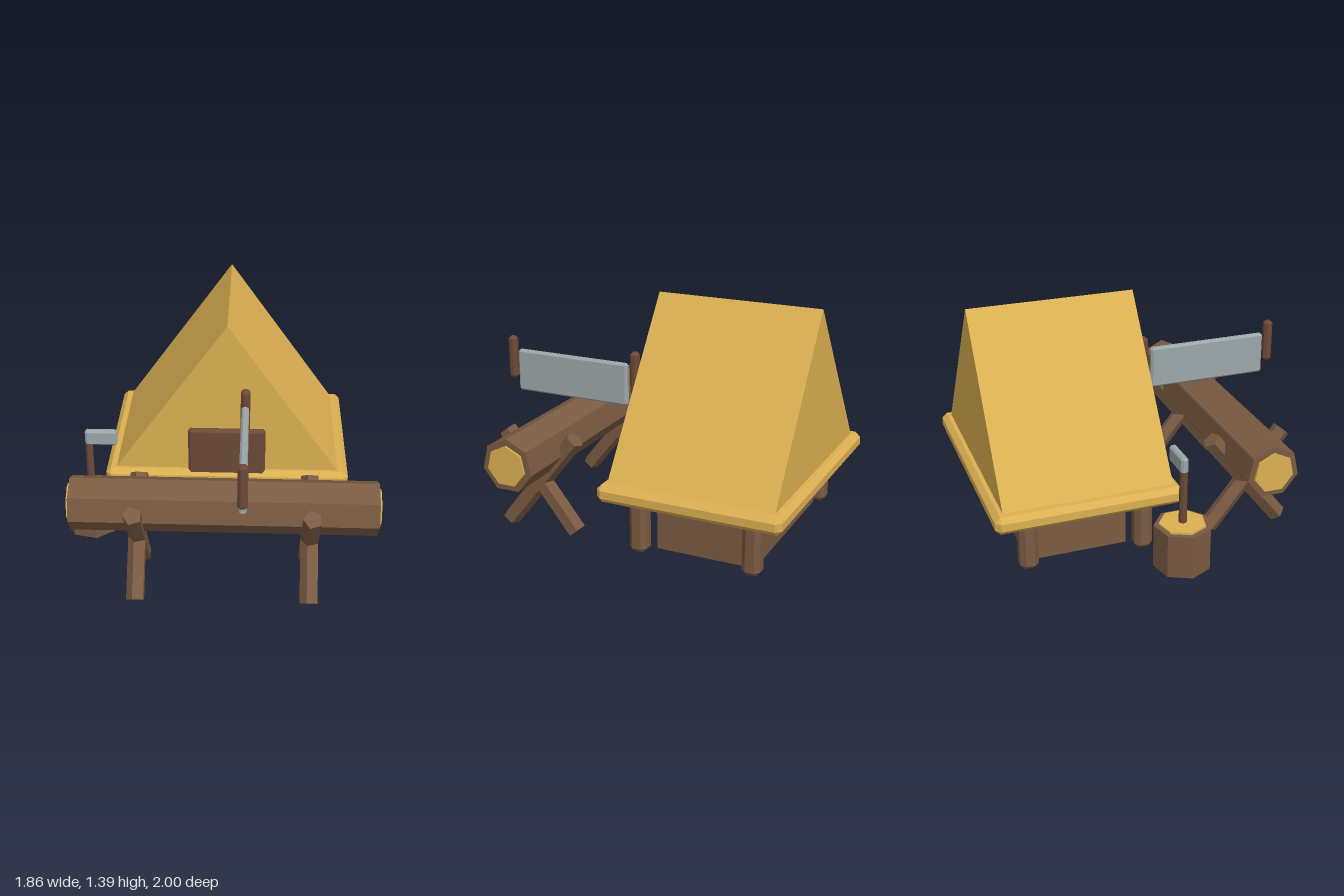
import * as THREE from 'three';
import { ConvexGeometry } from 'three/addons/geometries/ConvexGeometry.js';

const paint = (name, color) => {
  const m = new THREE.MeshStandardMaterial({ color });
  m.name = name;
  return m;
};

// Give every face its own flat normal
function flat(geo) {
  const g = geo.index ? geo.toNonIndexed() : geo;
  g.computeVertexNormals();
  return g;
}

// Box with all edges cut at 45 degrees, given by its min and max corners
function chamferBox(min, max, c) {
  const h = max.map((v, i) => (v - min[i]) / 2);
  const pts = [];
  for (const sx of [-1, 1]) for (const sy of [-1, 1]) for (const sz of [-1, 1]) {
    for (let full = 0; full < 3; full++) {
      const p = h.map((v, i) => (i === full ? v : v - c));
      pts.push(new THREE.Vector3(p[0] * sx, p[1] * sy, p[2] * sz));
    }
  }
  const g = new ConvexGeometry(pts);
  g.translate(...max.map((v, i) => (v + min[i]) / 2));
  return g;
}

export function createModel() {
  const gold = paint('gold', 0xdcb052);
  const wood = paint('wood', 0x7a5a42);
  const darkWood = paint('dark wood', 0x6c4a38);
  const steel = paint('steel', 0x9ca7a9);

  const model = new THREE.Group();
  model.name = 'woodcutterCamp';
  const add = (parent, name, geo, mat) => {
    const m = new THREE.Mesh(geo, mat);
    m.name = name;
    parent.add(m);
    return m;
  };
  const group = (name) => {
    const g = new THREE.Group();
    g.name = name;
    model.add(g);
    return g;
  };

  // Hut: walls, corner posts, eaves slab, roof prism and door
  const hut = group('hut');
  add(hut, 'walls', new THREE.BoxGeometry(1.0, 0.36, 0.59).translate(0.06, 0.22, -0.485), wood);
  for (const x of [-0.5, 0.62]) for (const z of [-0.113, -0.79]) {
    add(hut, 'cornerPost', chamferBox([x - 0.053, 0.04, z - 0.053], [x + 0.053, 0.42, z + 0.053], 0.027), wood);
  }
  add(hut, 'eaves', chamferBox([-0.67, 0.36, -1.0], [0.79, 0.465, 0.08], 0.03), gold);
  const gable = new THREE.Shape();
  gable.moveTo(-0.61, 0.46);
  gable.lineTo(0.73, 0.46);
  gable.lineTo(0.06, 1.397);
  gable.closePath();
  const roof = new THREE.ExtrudeGeometry(gable, { depth: 0.98, bevelEnabled: false });
  add(hut, 'roof', roof.translate(0, 0, -0.947), gold);
  add(hut, 'door', chamferBox([-0.17, 0.42, 0.01], [0.29, 0.74, 0.063], 0.015), darkWood);

  // Seven-sided log lying along x, with pale cut ends
  const log = group('log');
  const prismX = (r, x0, x1) => {
    const g = new THREE.CylinderGeometry(r, r, x1 - x0, 7);
    g.rotateZ(Math.PI / 2);
    // turn one corner to the top
    g.rotateX(-Math.PI / 2);
    return flat(g.translate((x0 + x1) / 2, 0.542, 0.556));
  };
  add(log, 'bark', prismX(0.158, -0.8, 0.92), wood);
  add(log, 'cutEnd', prismX(0.12, -0.813, -0.79), gold);
  add(log, 'cutEnd', prismX(0.12, 0.91, 0.932), gold);

  // Two crossed trestles of five-sided poles
  const trestles = group('trestles');
  for (const x of [-0.435, 0.545]) for (const s of [-1, 1]) {
    const geo = new THREE.CylinderGeometry(0.055, 0.055, 0.723, 5);
    geo.rotateY(-Math.PI / 2);
    geo.rotateX(s * Math.atan2(0.45, 0.566));
    add(trestles, 'trestleLeg', flat(geo.translate(x + 0.005, 0.323, 0.561)), wood);
  }

  // Two-handed saw above the log
  const saw = group('saw');
  add(saw, 'sawBlade', chamferBox([0.148, 0.718, 0.188], [0.19, 0.975, 0.93], 0.012), steel);
  for (const z of [0.14, 0.97]) {
    add(saw, 'sawHandle', chamferBox([0.142, 0.79, z - 0.027], [0.197, 1.052, z + 0.027], 0.016), darkWood);
  }

  // Chopping block with an axe standing on it
  const block = group('choppingBlock');
  const prismY = (r, y0, y1) => {
    const g = new THREE.CylinderGeometry(r, r, y1 - y0, 7);
    g.rotateY(-Math.PI / 2);
    return flat(g.translate(-0.767, (y0 + y1) / 2, 0.028));
  };
  add(block, 'stump', prismY(0.163, 0.04, 0.3), wood);
  add(block, 'stumpTop', prismY(0.134, 0.29, 0.312), gold);
  const axe = group('axe');
  add(axe, 'axeHandle', chamferBox([-0.787, 0.28, 0.008], [-0.745, 0.66, 0.05], 0.012), darkWood);
  add(axe, 'axeHead', chamferBox([-0.788, 0.615, 0.007], [-0.597, 0.712, 0.051], 0.012), steel);

  return model;
}
